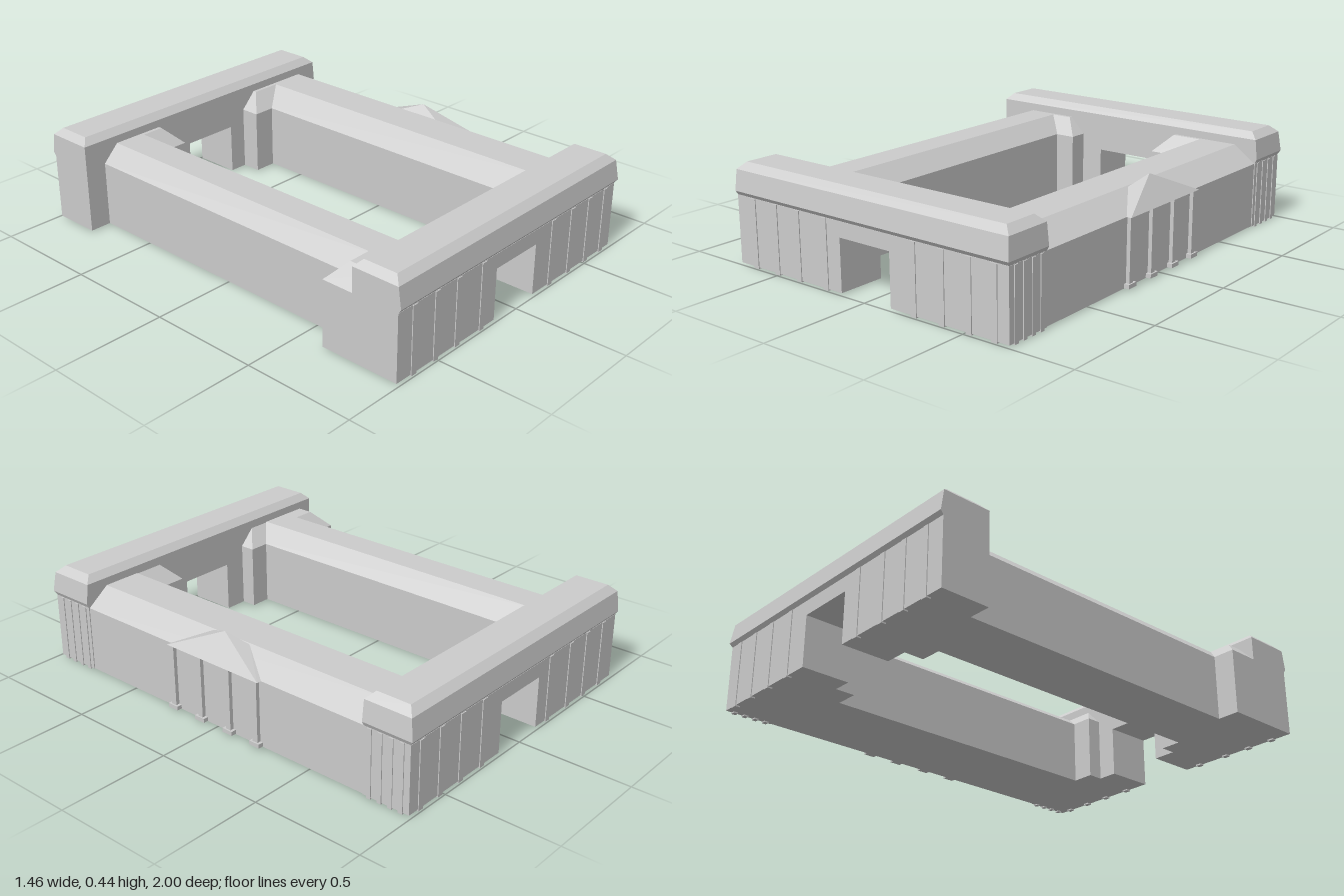
import * as THREE from 'three';

const grey = new THREE.MeshStandardMaterial({ color: 0xcccccc, flatShading: true });
const EAVES = 0.3, RIDGE = 0.375, BASE = 0.006;

function add(parent, name, geometry) {
  const mesh = new THREE.Mesh(geometry, grey);
  mesh.name = name;
  parent.add(mesh);
  return mesh;
}

// Box given by its limits on each axis
function box(parent, name, x0, x1, y0, y1, z0, z1) {
  const g = new THREE.BoxGeometry(x1 - x0, y1 - y0, z1 - z0);
  g.translate((x0 + x1) / 2, (y0 + y1) / 2, (z0 + z1) / 2);
  return add(parent, name, g);
}

function flatGeometry(points, index) {
  const g = new THREE.BufferGeometry();
  g.setAttribute('position', new THREE.Float32BufferAttribute(points.flat(), 3));
  g.setIndex(index);
  const flat = g.toNonIndexed();
  flat.computeVertexNormals();
  return flat;
}

// Solid lofted through rectangles [y, x0, x1, z0, z1], from bottom to top
function stack(parent, name, rings) {
  const points = [], index = [];
  for (const [y, x0, x1, z0, z1] of rings) {
    points.push([x0, y, z1], [x1, y, z1], [x1, y, z0], [x0, y, z0]);
  }
  for (let r = 0; r < rings.length - 1; r++) {
    for (let i = 0; i < 4; i++) {
      const a = r * 4 + i, b = r * 4 + (i + 1) % 4;
      index.push(a, b, b + 4, a, b + 4, a + 4);
    }
  }
  const t = points.length - 4;
  index.push(t, t + 1, t + 2, t, t + 2, t + 3, 0, 2, 1, 0, 3, 2);
  return add(parent, name, flatGeometry(points, index));
}

// Order a pair of z limits whichever end of the building they belong to
const span = (s, a, b) => (s > 0 ? [a, b] : [-b, -a]);

// End range: wall with a gateway, chamfered roof and thin wall ribs
function endRange(s) {
  const group = new THREE.Group();
  group.name = s > 0 ? 'frontRange' : 'backRange';

  const wall = new THREE.Shape();
  [[-0.73, BASE], [-0.135, BASE], [-0.135, 0.235], [0.13, 0.235], [0.13, BASE],
    [0.707, BASE], [0.707, 0.302], [-0.73, 0.302]]
    .forEach(([x, y], i) => (i ? wall.lineTo(x, y) : wall.moveTo(x, y)));
  const g = new THREE.ExtrudeGeometry(wall, { depth: 0.218, bevelEnabled: false });
  g.translate(0, 0, s > 0 ? 0.77 : -0.988);
  add(group, 'wall', g);

  stack(group, 'roof', [
    [EAVES, -0.73, 0.705, ...span(s, 0.77, 0.985)],
    [0.32, -0.73, 0.715, ...span(s, 0.77, 1)],
    [0.41, -0.73, 0.705, ...span(s, 0.77, 0.987)],
    [0.44, -0.7, 0.67, ...span(s, 0.8, 0.955)],
  ]);

  for (const x of [-0.635, -0.505, -0.375, -0.22, 0.25, 0.39, 0.52, 0.64]) {
    box(group, 'wallRib', x - 0.014, x + 0.014, 0, EAVES, ...span(s, 0.97, 0.992));
  }
  for (const z of [0.8, 0.85, 0.9, 0.95]) {
    box(group, 'endRib', 0.69, 0.711, 0, EAVES, ...span(s, z - 0.01, z + 0.01));
  }
  return group;
}

// Long side wing: straight walls under a flat-topped roof
function wing(name, x0, x1, top0, top1) {
  const group = new THREE.Group();
  group.name = name;
  box(group, 'wall', x0, x1, BASE, EAVES, -0.78, 0.78);
  stack(group, 'roof', [
    [EAVES, x0, x1, -0.78, 0.78],
    [RIDGE, top0, top1, -0.78, 0.78],
  ]);
  return group;
}

// Hipped corner block, side = direction of its free end along x
function cornerBlock(name, s, side, x0, x1, z) {
  const group = new THREE.Group();
  group.name = name;
  const hip = 0.073;
  box(group, 'wall', x0, x1, BASE, EAVES, ...span(s, z, 0.8));
  stack(group, 'roof', [
    [EAVES, x0, x1, ...span(s, z, 0.85)],
    [RIDGE, x0 + (side < 0 ? hip : 0), x1 - (side > 0 ? hip : 0), ...span(s, z + hip, 0.85)],
  ]);
  return group;
}

// Portico: hipped pediment on four square columns
function portico() {
  const group = new THREE.Group();
  group.name = 'portico';
  const points = [
    [0.725, EAVES, 0.255], [0.725, EAVES, -0.255],
    [0.605, 0.372, -0.1], [0.605, 0.372, 0.1],
    [0.64, 0.412, 0], [0.69, EAVES, -0.255], [0.69, EAVES, 0.255],
  ];
  add(group, 'pediment', flatGeometry(points, [
    0, 1, 4, 2, 3, 4,
    1, 5, 2, 1, 2, 4,
    6, 0, 3, 0, 4, 3,
    0, 6, 5, 0, 5, 1,
  ]));
  for (const z of [0.237, 0.08, -0.08, -0.23]) {
    box(group, 'column', 0.695, 0.72, 0.02, EAVES, z - 0.013, z + 0.013);
    box(group, 'columnBase', 0.69, 0.727, 0.008, 0.026, z - 0.026, z + 0.026);
  }
  return group;
}

export function createModel() {
  const model = new THREE.Group();
  model.name = 'courtyardBuilding';
  model.add(
    endRange(1),
    endRange(-1),
    wing('rightWing', -0.63, -0.335, -0.555, -0.415),
    wing('leftWing', 0.32, 0.703, 0.425, 0.6),
    cornerBlock('frontRightInnerCorner', 1, 1, -0.45, -0.24, 0.7),
    cornerBlock('frontLeftInnerCorner', 1, -1, 0.22, 0.46, 0.7),
    cornerBlock('backRightInnerCorner', -1, 1, -0.45, -0.24, 0.68),
    cornerBlock('backLeftInnerCorner', -1, -1, 0.215, 0.46, 0.68),
    cornerBlock('frontRightOuterCorner', 1, -1, -0.73, -0.555, 0.625),
    portico(),
  );
  return model;
}
